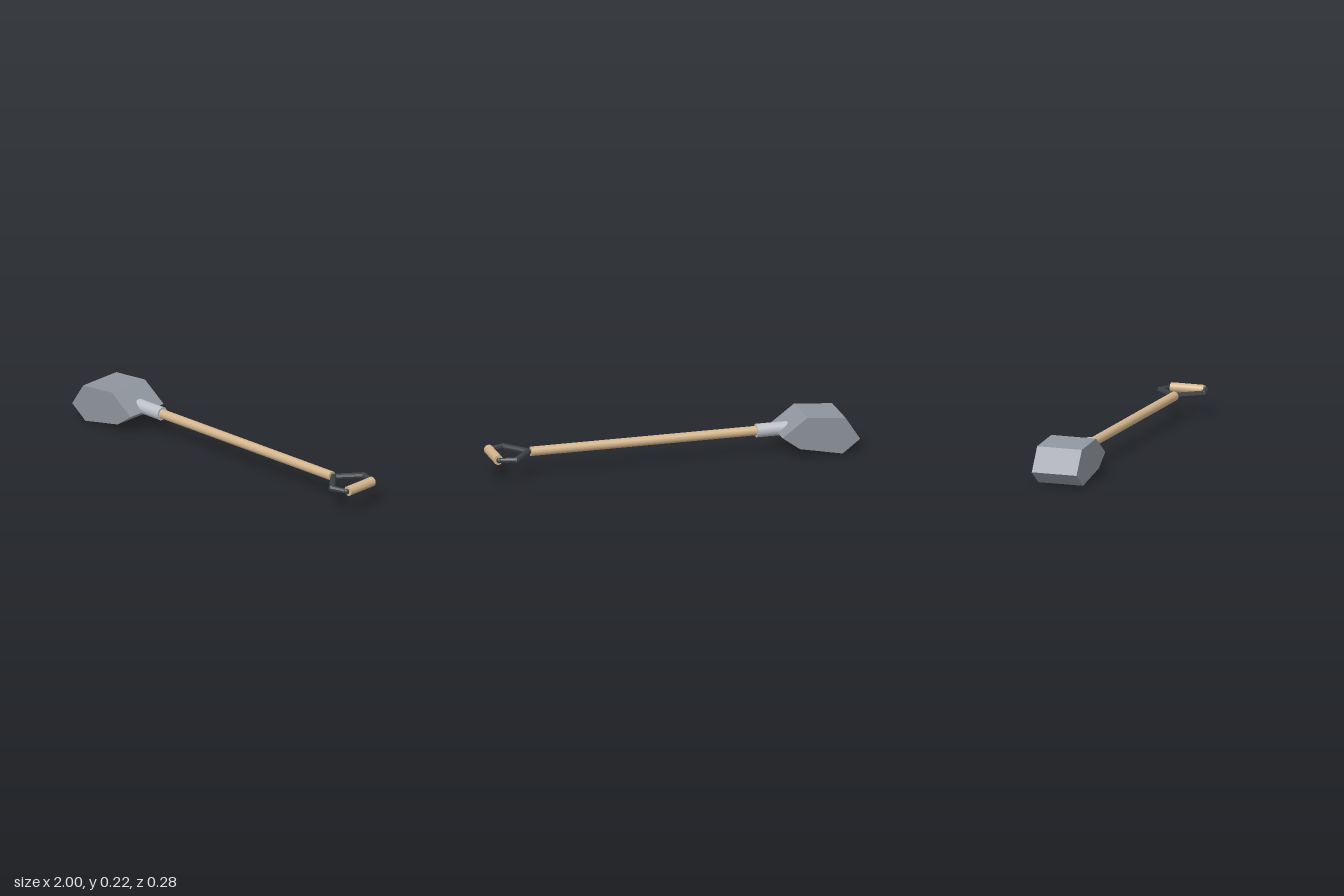
import * as THREE from 'three';

const AXIS_Y = 0.128; // height of the shaft's centre line

const paint = (color, flat = false) =>
  new THREE.MeshStandardMaterial({ color, flatShading: flat });

function part(name, geometry, material) {
  const mesh = new THREE.Mesh(geometry, material);
  mesh.name = name;
  return mesh;
}

// Round bar between two points, optionally tapered
function rod(name, a, b, r0, r1, sides, material) {
  const dir = b.clone().sub(a);
  const mesh = part(name, new THREE.CylinderGeometry(r1, r0, dir.length(), sides), material);
  mesh.position.copy(a).addScaledVector(dir, 0.5);
  mesh.quaternion.setFromUnitVectors(new THREE.Vector3(0, 1, 0), dir.normalize());
  return mesh;
}

const at = (x, z = 0) => new THREE.Vector3(x, AXIS_Y, z);

export function createModel() {
  const model = new THREE.Group();
  model.name = 'shovel';

  const wood = paint(0xd2b48c);
  const steel = paint(0x8f959d, true);
  const socketMetal = paint(0xb9c0c6);
  const dark = paint(0x3c4044, true);

  // Blade: six-sided profile extruded across the width
  const outline = [
    [-1, 0.073], [-0.904, 0], [-0.67, 0.046],
    [-0.575, 0.115], [-0.711, 0.215], [-0.92, 0.197],
  ].map(([x, y]) => new THREE.Vector2(x, y));
  const blade = new THREE.ExtrudeGeometry(new THREE.Shape(outline), { depth: 0.252, bevelEnabled: false });
  blade.translate(0, 0, -0.126);
  model.add(part('blade', blade, steel));

  // Socket and shaft
  model.add(rod('socket', at(-0.635), at(-0.465), 0.036, 0.036, 32, socketMetal));
  model.add(rod('shaft', at(-0.47), at(0.77), 0.025, 0.025, 32, wood));

  // Forked yoke: each arm spreads outward, then bends back in to the grip
  for (const side of [1, -1]) {
    const arm = new THREE.Group();
    arm.name = side > 0 ? 'frontYokeArm' : 'backYokeArm';
    const root = at(0.782, 0), elbow = at(0.884, side * 0.122), tip = at(0.972, side * 0.1);
    arm.add(rod('spreadingBar', root, elbow, 0.017, 0.017, 8, dark));
    arm.add(rod('returnBar', elbow, tip, 0.017, 0.012, 8, dark));
    const joint = part('elbow', new THREE.SphereGeometry(0.0175, 8, 6), dark);
    joint.position.copy(elbow);
    const cap = part('gripEnd', new THREE.SphereGeometry(0.015, 8, 6), dark);
    cap.position.copy(tip);
    arm.add(joint, cap);
    model.add(arm);
  }

  // Cross grip
  model.add(rod('grip', at(0.973, -0.093), at(0.973, 0.093), 0.026, 0.026, 32, wood));

  return model;
}
